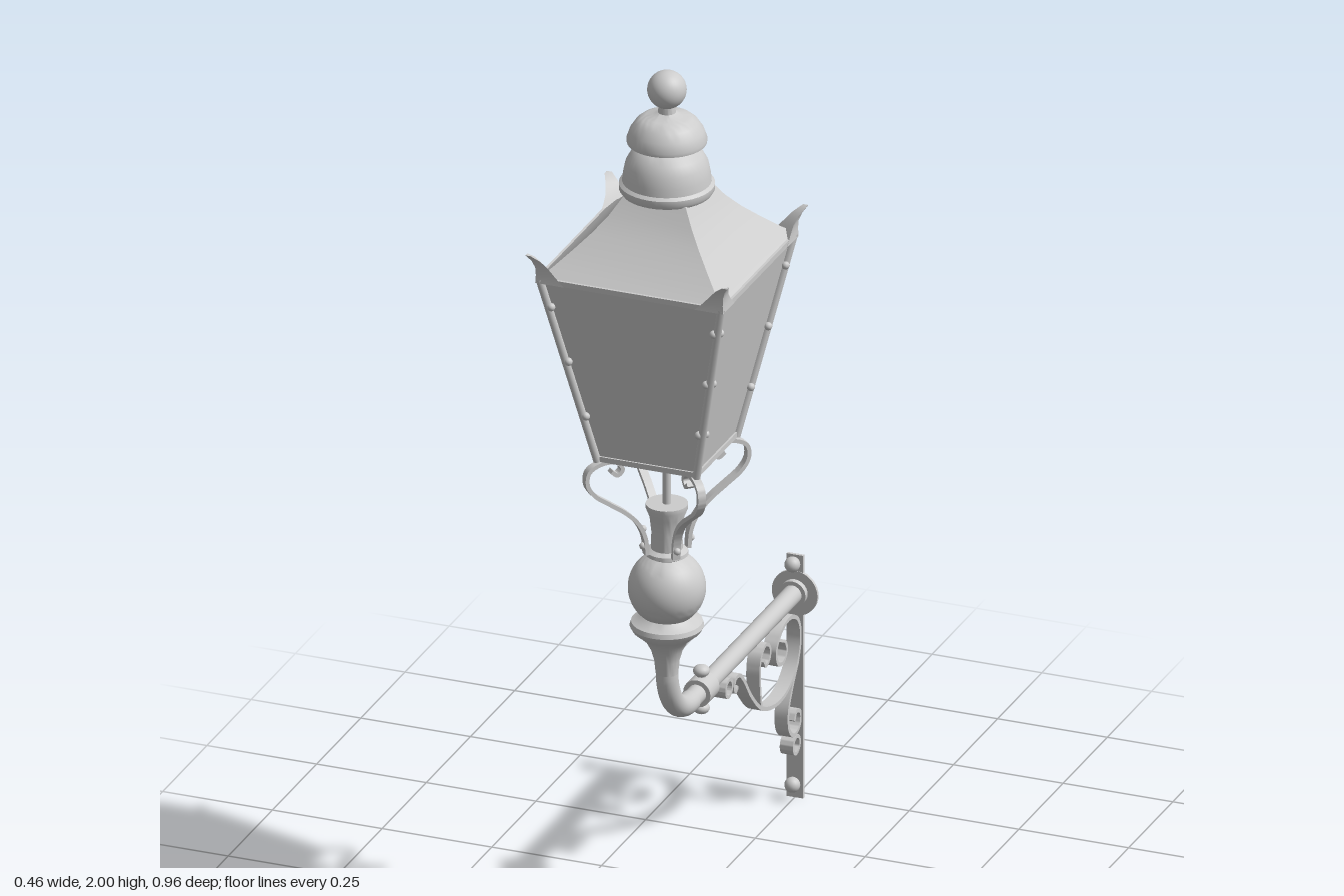
import * as THREE from 'three';
import { toCreasedNormals } from 'three/addons/utils/BufferGeometryUtils.js';

const V2 = (p) => new THREE.Vector2(p[0], p[1]);

export function createModel() {
  const model = new THREE.Group();
  model.name = 'wallLantern';
  const iron = new THREE.MeshStandardMaterial({ color: 0xcccccc, side: THREE.DoubleSide });
  iron.name = 'paleGrey';

  const add = (parent, name, geo, x = 0, y = 0, z = 0) => {
    const mesh = new THREE.Mesh(geo, iron);
    mesh.name = name;
    mesh.position.set(x, y, z);
    parent.add(mesh);
    return mesh;
  };
  const lathe = (pts, seg = 40) =>
    toCreasedNormals(new THREE.LatheGeometry(pts.map(V2), seg), 0.6);
  // Square lathe: the radii are half widths
  const squareLathe = (pts) => toCreasedNormals(
    new THREE.LatheGeometry(pts.map(([r, y]) => new THREE.Vector2(r * Math.SQRT2, y)), 4, Math.PI / 4), 0.6);
  // Square ring with a square hole, lying flat
  const squareRing = (outer, inner, height) => {
    const square = (Cls, h) => new Cls([[-h, -h], [h, -h], [h, h], [-h, h]].map(V2));
    const shape = square(THREE.Shape, outer);
    shape.holes.push(square(THREE.Path, inner));
    return new THREE.ExtrudeGeometry(shape, { depth: height, bevelEnabled: false })
      .rotateX(-Math.PI / 2);
  };
  // Flat bent strap: path in (u, y), u turned to +z, width along x
  const strap = (pts, width, thick, closed = false) => {
    const curve = new THREE.CatmullRomCurve3(pts.map(([u, v]) => new THREE.Vector3(u, v, 0)), closed);
    const n = pts.length * 5, left = [], right = [];
    for (let i = 0; i <= n; i++) {
      const p = curve.getPoint(i / n), t = curve.getTangent(i / n);
      left.push(new THREE.Vector2(p.x - t.y * thick / 2, p.y + t.x * thick / 2));
      right.push(new THREE.Vector2(p.x + t.y * thick / 2, p.y - t.x * thick / 2));
    }
    const shape = new THREE.Shape([...left, ...right.reverse()]);
    const geo = new THREE.ExtrudeGeometry(shape, { depth: width, bevelEnabled: false });
    return toCreasedNormals(geo.translate(0, 0, -width / 2).rotateY(-Math.PI / 2), 0.7);
  };

  // ---- Lantern head and post, centred on its own axis ----
  const lamp = new THREE.Group();
  lamp.name = 'lantern';
  lamp.position.z = 0.25;
  model.add(lamp);

  add(lamp, 'finialBall', new THREE.SphereGeometry(0.042, 32, 20), 0, 1.958);
  add(lamp, 'chimneyCaps', lathe([
    [0.06, 1.72], [0.097, 1.722], [0.102, 1.73], [0.102, 1.742], [0.095, 1.748], [0.093, 1.765],
    [0.088, 1.79], [0.077, 1.81], [0.062, 1.825], [0.05, 1.83], [0.05, 1.837], [0.085, 1.837],
    [0.086, 1.845], [0.079, 1.865], [0.067, 1.883], [0.055, 1.893], [0.045, 1.897], [0.03, 1.9],
    [0.019, 1.906], [0.017, 1.93]]));
  add(lamp, 'roof', squareLathe([
    [0.212, 1.57], [0.185, 1.592], [0.153, 1.623], [0.122, 1.655], [0.095, 1.688], [0.07, 1.728]]));
  add(lamp, 'topRail', squareRing(0.213, 0.195, 0.012), 0, 1.562);
  add(lamp, 'glassPanes', squareLathe([[0.111, 1.125], [0.203, 1.568]]));
  add(lamp, 'bottomRail', squareRing(0.117, 0.085, 0.012), 0, 1.122);

  // Floor bar and gas pipe with burner
  add(lamp, 'floorBar', new THREE.BoxGeometry(0.2, 0.008, 0.03), 0, 1.13);
  add(lamp, 'gasPipe', new THREE.CylinderGeometry(0.009, 0.009, 0.21, 16), 0, 1.075);
  add(lamp, 'burner', new THREE.CylinderGeometry(0.02, 0.014, 0.03, 20), 0, 1.17);

  // Folded horn wrapped round one roof corner
  const hornGeometry = () => {
    const levels = [[1.562, 0.214, 0.065], [1.58, 0.213, 0.045], [1.598, 0.214, 0.03],
      [1.615, 0.22, 0.021], [1.63, 0.23, 0.012]];
    const pos = [], index = [];
    for (const [y, t, w] of levels) pos.push(t - w, y, t, t, y, t, t, y, t - w);
    for (let i = 0; i < levels.length - 1; i++) {
      for (let j = 0; j < 3; j++) {
        const a = i * 3 + j, b = i * 3 + (j + 1) % 3;
        index.push(a, b, b + 3, a, b + 3, a + 3);
      }
    }
    const k = (levels.length - 1) * 3;
    index.push(k, k + 1, k + 2);
    const geo = new THREE.BufferGeometry();
    geo.setAttribute('position', new THREE.Float32BufferAttribute(pos, 3));
    geo.setIndex(index);
    return toCreasedNormals(geo, 0.7);
  };
  const horn = hornGeometry();

  // Curled leg in (radius along the diagonal, height)
  const leg = strap([
    [0.092, 1.093], [0.082, 1.083], [0.074, 1.095], [0.083, 1.113], [0.108, 1.115], [0.128, 1.1],
    [0.131, 1.072], [0.12, 1.045], [0.095, 1.018], [0.068, 0.99], [0.048, 0.96], [0.037, 0.925],
    [0.034, 0.885]].map(([x, y]) => [x * Math.SQRT2, y]), 0.018, 0.009);

  // Corner parts repeated on the four diagonals
  const postA = new THREE.Vector3(0.113, 1.122, 0.113), postB = new THREE.Vector3(0.207, 1.57, 0.207);
  const postLine = new THREE.LineCurve3(postA, postB);
  for (let i = 0; i < 4; i++) {
    const corner = new THREE.Group();
    corner.name = 'corner' + (i + 1);
    corner.rotation.y = i * Math.PI / 2;
    lamp.add(corner);
    add(corner, 'cornerPost', new THREE.TubeGeometry(postLine, 1, 0.009, 8));
    for (const y of [0.25, 0.55, 0.85]) {
      const p = postLine.getPoint(y);
      add(corner, 'postRivet', new THREE.SphereGeometry(0.009, 10, 8), p.x - 0.008, p.y, p.z + 0.003);
      add(corner, 'postRivet', new THREE.SphereGeometry(0.009, 10, 8), p.x + 0.003, p.y, p.z - 0.008);
    }
    add(corner, 'roofHorn', horn);
    add(corner, 'curledLeg', leg).rotation.y = Math.PI / 4;
    for (const y of [0.905, 0.945]) {
      add(corner, 'legBolt', new THREE.SphereGeometry(0.008, 10, 8), 0.039, y, 0.039);
    }
  }

  // Turned post: flared stem, ring, ball and socket
  const ball = [];
  for (let i = 0; i <= 16; i++) {
    const a = -0.87 + i * (1.96 / 16);
    ball.push([0.083 * Math.cos(a), 0.8 + 0.083 * Math.sin(a)]);
  }
  add(lamp, 'turnedPost', lathe([
    [0.024, 0.6], [0.027, 0.63], [0.034, 0.655], [0.046, 0.677], [0.06, 0.69], [0.073, 0.701],
    [0.079, 0.712], [0.076, 0.722], [0.062, 0.729], ...ball, [0.046, 0.878], [0.045, 0.886],
    [0.034, 0.892], [0.033, 0.93], [0.037, 0.965], [0.045, 0.985], [0.045, 0.995], [0, 0.995]]));

  // ---- Arm ----
  const bend = [];
  for (let i = 0; i <= 8; i++) {
    const a = i * Math.PI / 16;
    bend.push(new THREE.Vector3(0, 0.608 - 0.13 * Math.sin(a), 0.12 + 0.13 * Math.cos(a)));
  }
  add(model, 'elbow', new THREE.TubeGeometry(new THREE.CatmullRomCurve3(bend), 24, 0.024, 24));
  const alongZ = (r, len, seg = 28) => new THREE.CylinderGeometry(r, r, len, seg).rotateX(Math.PI / 2);
  add(model, 'armPipe', alongZ(0.021, 0.6), 0, 0.478, -0.175);
  add(model, 'coupling', alongZ(0.031, 0.052), 0, 0.478, 0.055);
  for (const s of [-1, 1]) {
    add(model, 'couplingStud', new THREE.CylinderGeometry(0.01, 0.01, 0.03, 14), 0, 0.478 + s * 0.03, 0.055);
    const knob = add(model, 'couplingKnob', new THREE.SphereGeometry(0.018, 18, 12), 0, 0.478 + s * 0.043, 0.055);
    knob.scale.y = 0.75;
  }

  // ---- Wall plate ----
  add(model, 'wallPlate', new THREE.BoxGeometry(0.038, 0.565, 0.007), 0, 0.2825, -0.4765);
  add(model, 'wallFlange', alongZ(0.052, 0.007, 36), 0, 0.476, -0.4755);
  add(model, 'pipeCollar', alongZ(0.03, 0.014), 0, 0.478, -0.466);
  for (const y of [0.035, 0.548]) {
    add(model, 'wallBolt', new THREE.SphereGeometry(0.017, 18, 12), 0, y, -0.459);
    add(model, 'wallBoltShank', alongZ(0.009, 0.02, 14), 0, y, -0.468);
  }

  // ---- Scrollwork under the arm, paths in (z, y) ----
  add(model, 'mainScroll', strap([
    [-0.117, 0.412], [-0.104, 0.406], [-0.096, 0.418], [-0.104, 0.435], [-0.125, 0.435], [-0.15, 0.413],
    [-0.19, 0.36], [-0.25, 0.305], [-0.33, 0.278], [-0.4, 0.284], [-0.452, 0.322], [-0.471, 0.38],
    [-0.455, 0.425], [-0.41, 0.446], [-0.36, 0.433], [-0.333, 0.398], [-0.345, 0.367], [-0.375, 0.36],
    [-0.394, 0.38], [-0.385, 0.403]], 0.03, 0.009));
  add(model, 'middleScroll', strap([
    [-0.25, 0.305], [-0.243, 0.35], [-0.24, 0.395], [-0.25, 0.428], [-0.275, 0.442], [-0.298, 0.426],
    [-0.296, 0.402], [-0.276, 0.393], [-0.263, 0.41]], 0.03, 0.008));
  add(model, 'lowerScroll', strap([
    [-0.458, 0.328], [-0.425, 0.28], [-0.401, 0.23], [-0.406, 0.187], [-0.435, 0.163], [-0.465, 0.173],
    [-0.47, 0.202], [-0.448, 0.213], [-0.435, 0.196]], 0.03, 0.009));
  for (const [z, y] of [[-0.066, 0.43], [-0.448, 0.135]]) {
    const ring = Array.from({ length: 8 }, (_, i) => [
      z + 0.019 * Math.cos(i * Math.PI / 4), y + 0.019 * Math.sin(i * Math.PI / 4)]);
    add(model, 'scrollRing', strap(ring, 0.03, 0.008, true));
  }
  return model;
}
